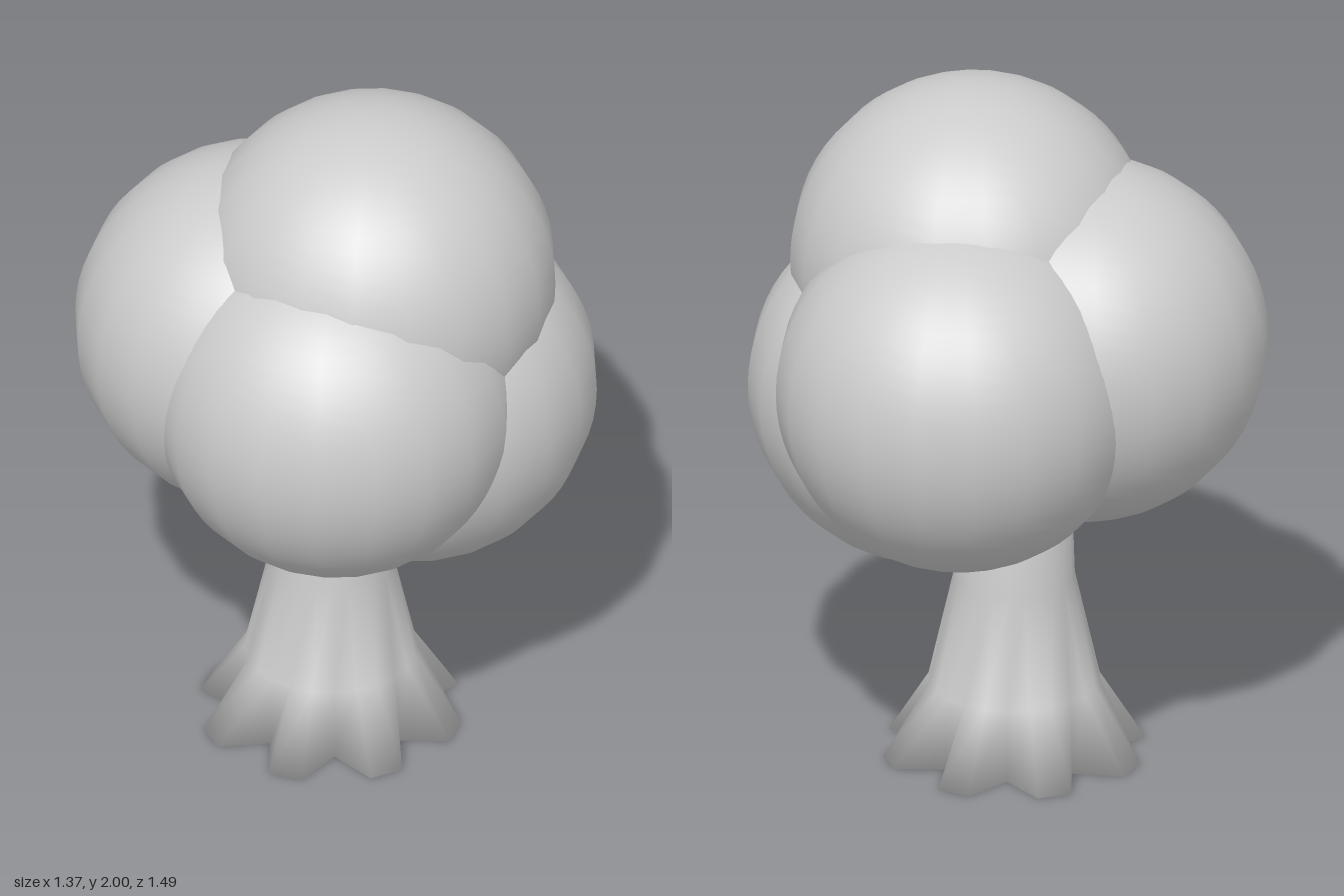
import * as THREE from 'three';

const material = new THREE.MeshStandardMaterial({ color: 0xcccccc });

// Round trunk whose base flares into eight blunt roots; smooth shared normals
function trunkGeometry() {
  const sides = 24;
  // [height, root radius, valley radius]
  const rings = [
    [0, 0.373, 0.25],
    [0.21, 0.242, 0.242],
    [0.53, 0.17, 0.17],
    [1.0, 0.155, 0.155],
  ];
  const positions = [];
  const index = [];
  for (const [y, root, valley] of rings) {
    for (let i = 0; i < sides; i++) {
      const a = (i / sides) * Math.PI * 2;
      const r = i % 3 === 0 ? valley : root;
      positions.push(Math.sin(a) * r, y, Math.cos(a) * r);
    }
  }
  for (let k = 0; k < rings.length - 1; k++) {
    for (let i = 0; i < sides; i++) {
      const j = (i + 1) % sides;
      const a = k * sides + i, b = k * sides + j;
      const c = a + sides, d = b + sides;
      index.push(a, b, d, a, d, c);
    }
  }
  // Caps
  const bottom = positions.length / 3;
  const top = bottom + 1;
  const last = (rings.length - 1) * sides;
  positions.push(0, 0, 0, 0, rings[rings.length - 1][0], 0);
  for (let i = 0; i < sides; i++) {
    const j = (i + 1) % sides;
    index.push(bottom, j, i, top, last + i, last + j);
  }
  const geometry = new THREE.BufferGeometry();
  geometry.setAttribute('position', new THREE.Float32BufferAttribute(positions, 3));
  geometry.setIndex(index);
  geometry.computeVertexNormals();
  return geometry;
}

export function createModel() {
  const tree = new THREE.Group();
  tree.name = 'tree';

  const trunk = new THREE.Mesh(trunkGeometry(), material);
  trunk.name = 'trunk';
  trunk.position.set(0.006, 0, 0.074);
  tree.add(trunk);

  // Five overlapping leaf balls of the same size
  const ball = new THREE.SphereGeometry(0.515, 20, 32);
  const foliage = new THREE.Group();
  foliage.name = 'foliage';
  const balls = {
    topFoliage: [0.105, 1.485, 0.01],
    frontRightFoliage: [-0.172, 1.273, 0.18],
    frontLeftFoliage: [0.17, 1.213, 0.228],
    backLeftFoliage: [0.17, 1.107, -0.09],
    backRightFoliage: [-0.117, 1.215, -0.23],
  };
  for (const [name, position] of Object.entries(balls)) {
    const mesh = new THREE.Mesh(ball, material);
    mesh.name = name;
    mesh.position.set(...position);
    foliage.add(mesh);
  }
  tree.add(foliage);
  return tree;
}
